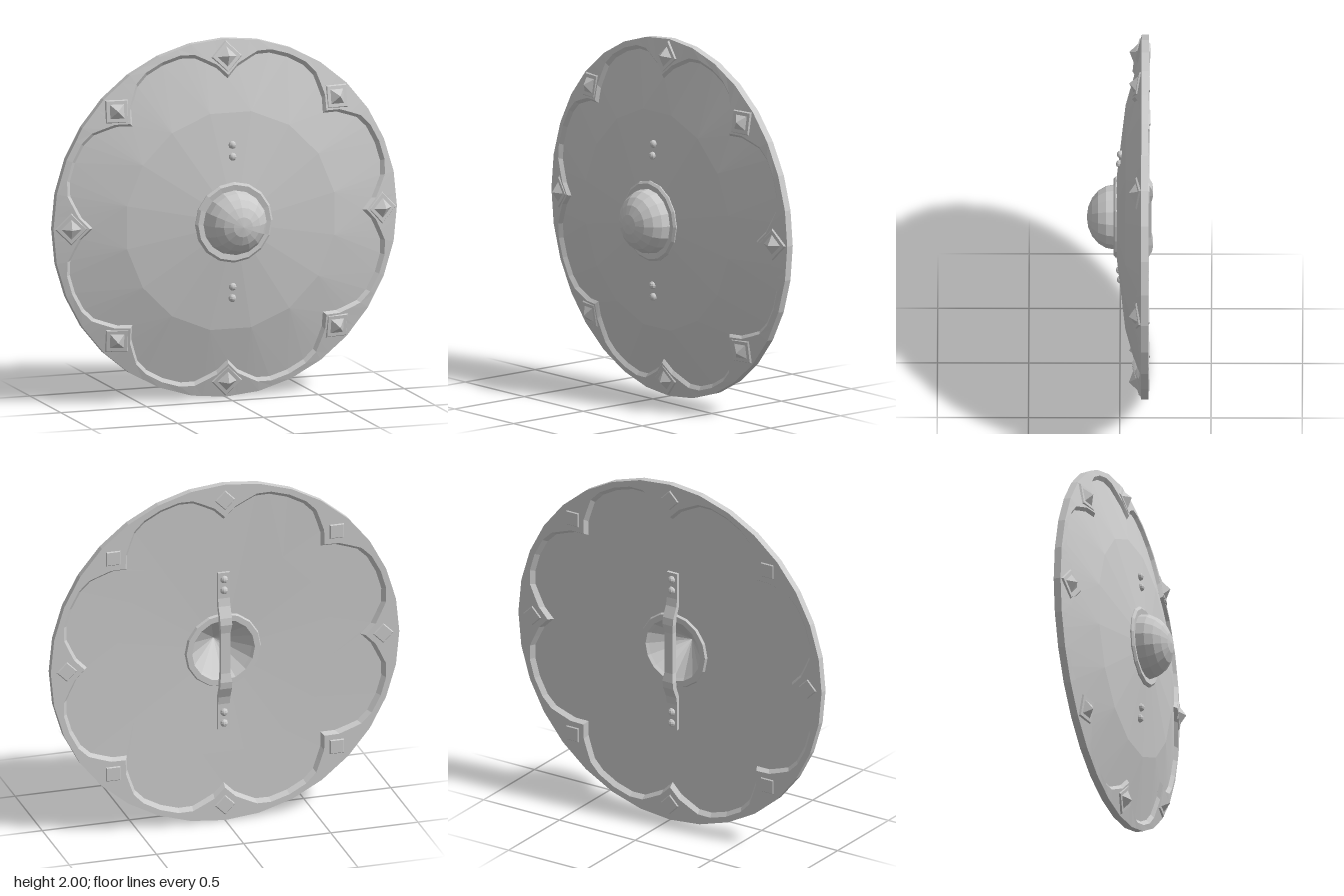
import * as THREE from 'three';

const material = new THREE.MeshStandardMaterial({ color: 0xcccccc, flatShading: true });
const DEG = Math.PI / 180;

// Half of one scallop: [degrees from the cusp, radius]
const petal = [[0, 0.785], [4, 0.845], [7.8, 0.882], [11.25, 0.92], [16, 0.94], [22.5, 0.945]];
const scallopAngles = [];
const scallopRadius = [];
for (let k = 0; k < 8; k++) {
  for (const [a, r] of petal) { scallopAngles.push(k * 45 + a); scallopRadius.push(r); }
  for (let i = 4; i > 0; i--) {
    scallopAngles.push(k * 45 + 45 - petal[i][0]);
    scallopRadius.push(petal[i][1]);
  }
}
// The same samples gathered onto 16 corners, so wide facets fan out to the scallops
const cornerAngles = scallopAngles.map((a) => Math.floor(a / 22.5) * 22.5 + 11.25);

// Radius of a 32-sided polygon at angle a (degrees)
function outerRadius(a) {
  return Math.cos(5.625 * DEG) / Math.cos(((a % 11.25) - 5.625) * DEG);
}

// Skin a list of point loops; wrap joins the last loop to the first
function skin(loops, wrap) {
  const pos = [];
  const n = loops[0].length;
  const tri = (a, b, c) => {
    if (a.distanceTo(b) > 1e-5 && b.distanceTo(c) > 1e-5 && c.distanceTo(a) > 1e-5) {
      for (const p of [a, b, c]) pos.push(p.x, p.y, p.z);
    }
  };
  for (let i = 0; i < loops.length - (wrap ? 0 : 1); i++) {
    const p = loops[i], q = loops[(i + 1) % loops.length];
    for (let j = 0; j < n; j++) {
      const k = (j + 1) % n;
      tri(p[j], q[j], q[k]);
      tri(p[j], q[k], p[k]);
    }
  }
  const g = new THREE.BufferGeometry();
  g.setAttribute('position', new THREE.Float32BufferAttribute(pos, 3));
  g.computeVertexNormals();
  return g;
}

// Loop around the z axis from radius and depth rules
function ring(angles, radius, depth) {
  return angles.map((a, j) => {
    const r = radius(a, j);
    return new THREE.Vector3(r * Math.cos(a * DEG), r * Math.sin(a * DEG), depth(r));
  });
}

function add(parent, name, geometry) {
  const mesh = new THREE.Mesh(geometry, material);
  mesh.name = name;
  parent.add(mesh);
  return mesh;
}

export function createModel() {
  const model = new THREE.Group();
  model.name = 'roundShield';
  const shield = new THREE.Group();
  shield.name = 'shieldBody';
  shield.position.y = 1;
  model.add(shield);

  const flat = (z) => () => z;
  const scallop = (grow, depth) => ring(scallopAngles, (a, j) => scallopRadius[j] + grow, depth);
  const corners = (r, z) => ring(cornerAngles, () => r, flat(z));

  // Solid faceted dish: domed front, almost flat back
  const dishFront = (r) => -0.03 - 0.284 * (r - 0.61);
  const dishBack = (r) => -0.11 - 0.026 * r;
  add(shield, 'dish', skin([
    corners(0.19, 0.022),
    corners(0.615, -0.03),
    scallop(0.005, dishFront),
    scallop(0.005, dishBack),
    corners(0.615, dishBack(0.615)),
    corners(0.19, dishBack(0.19)),
  ], true));

  // Raised rim with bevelled scallops
  const rimFront = (r) => -0.118 + 0.27 * (1 - r);
  add(shield, 'rim', skin([
    scallop(0, dishFront),
    scallop(0.022, rimFront),
    ring(scallopAngles, outerRadius, flat(-0.118)),
    ring(scallopAngles, outerRadius, flat(-0.158)),
    scallop(0.022, flat(-0.158)),
    scallop(0, dishBack),
  ], true));

  // Central boss with front and back collars and a conical hollow behind
  const profile = [];
  for (let i = 0; i <= 5; i++) {
    const t = i * 18 * DEG;
    profile.push([0.18 * Math.sin(t), 0.03 + 0.152 * Math.cos(t)]);
  }
  profile.push([0.212, 0.035], [0.225, 0.024], [0.225, 0], [0.222, -0.11],
    [0.212, -0.13], [0.18, -0.13], [0.168, -0.115], [0, 0.06]);
  const sixteen = Array.from({ length: 16 }, (_, i) => i * 22.5);
  add(shield, 'boss', skin(profile.map(([r, z]) => ring(sixteen, () => r, flat(z))), false));

  // Eight pyramid studs, each on a square plate with a clinch plate behind
  const plate = new THREE.CylinderGeometry(0.082, 0.094, 0.012, 4).rotateX(Math.PI / 2);
  const spike = new THREE.ConeGeometry(0.06, 0.04, 4).rotateX(Math.PI / 2);
  const clinch = new THREE.CylinderGeometry(0.066, 0.052, 0.012, 4).rotateX(Math.PI / 2);
  for (let k = 0; k < 8; k++) {
    const spoke = new THREE.Group();
    spoke.name = 'stud';
    spoke.rotation.z = k * 45 * DEG;
    shield.add(spoke);
    const tilted = new THREE.Group();
    tilted.position.set(0.905, 0, rimFront(0.905));
    tilted.rotation.y = Math.atan(0.23);
    spoke.add(tilted);
    add(tilted, 'studPlate', plate);
    add(tilted, 'studSpike', spike).position.z = 0.023;
    add(spoke, 'studClinch', clinch).position.set(0.908, 0, -0.158);
  }

  // Handle: sections of [y, centre z, half width, half thickness]
  const half = [[0.467, -0.128, 0.034, 0.012], [0.315, -0.126, 0.034, 0.012],
    [0.27, -0.133, 0.034, 0.014], [0.21, -0.16, 0.034, 0.016],
    [0.17, -0.165, 0.034, 0.017], [0.12, -0.155, 0.027, 0.017]];
  const stations = [...half, ...half.slice().reverse().map(([y, z, w, t]) => [-y, z, w, t])];
  const bar = stations.map(([y, z, w, t]) => [[-w, -t], [w, -t], [w, t], [-w, t]]
    .map(([x, d]) => new THREE.Vector3(x, y, z + d)));
  const cap = (s) => Array(4).fill(new THREE.Vector3(0, s[0], s[1]));
  add(shield, 'handle', skin([cap(stations[0]), ...bar, cap(stations.at(-1))].reverse(), false));

  // Rivets through dish and handle ends
  const rivet = new THREE.SphereGeometry(0.022, 10, 6);
  for (const side of [1, -1]) {
    for (const [y, front] of [[0.363, 0.001], [0.428, -0.004]]) {
      add(shield, 'frontRivet', rivet).position.set(0, side * y, front);
      add(shield, 'backRivet', rivet).position.set(0, side * y, -0.138);
    }
  }
  return model;
}
